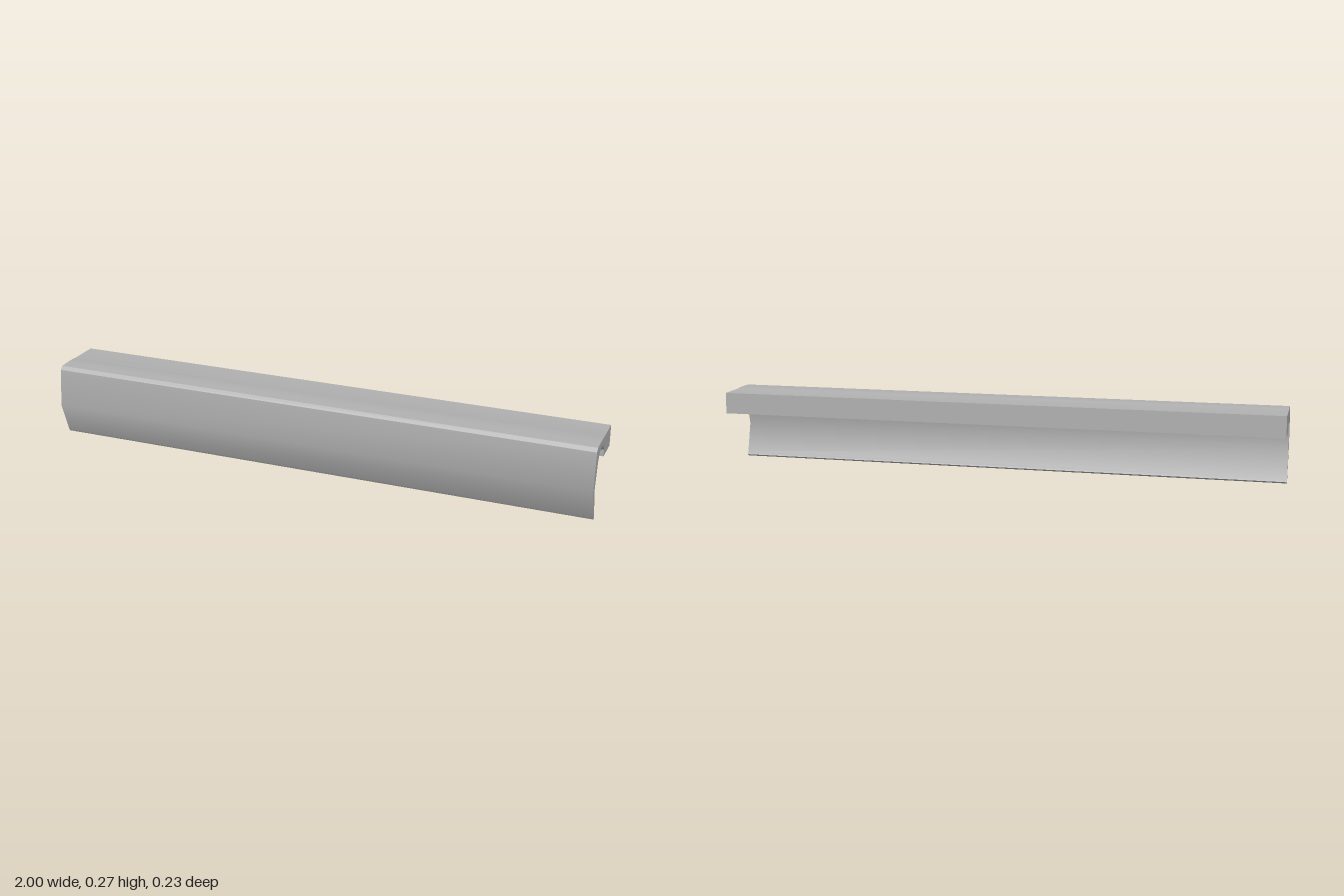
import * as THREE from 'three';
import { toCreasedNormals } from 'three/addons/utils/BufferGeometryUtils.js';

export function createModel() {
  const group = new THREE.Group();
  group.name = 'hookedRail';

  const grey = new THREE.MeshStandardMaterial({ color: 0xb0b0b0 });
  grey.name = 'grey';

  // Cross-section as [z, y]: square back bar, arch and bent front lip
  const profile = [
    [-0.115, 0.193], [-0.018, 0.193], [-0.018, 0.217], [0.002, 0.242],
    [0.034, 0.245], [0.061, 0.229], [0.073, 0.2], [0.092, 0.12],
    [0.065, 0.016], [0.061, 0.006], [0.069, 0], [0.075, 0.01],
    [0.115, 0.12], [0.102, 0.256], [0.09, 0.268], [0.052, 0.27],
    [0.008, 0.27], [-0.002, 0.268], [-0.115, 0.268],
  ];
  const shape = new THREE.Shape(profile.map(([z, y]) => new THREE.Vector2(z, y)));

  // Run the section along x, smoothing only the gentle bends
  const extruded = new THREE.ExtrudeGeometry(shape, { depth: 2, bevelEnabled: false });
  extruded.rotateY(-Math.PI / 2).translate(1, 0, 0);
  const rail = new THREE.Mesh(toCreasedNormals(extruded, 0.65), grey);
  rail.name = 'railProfile';
  group.add(rail);

  return group;
}
